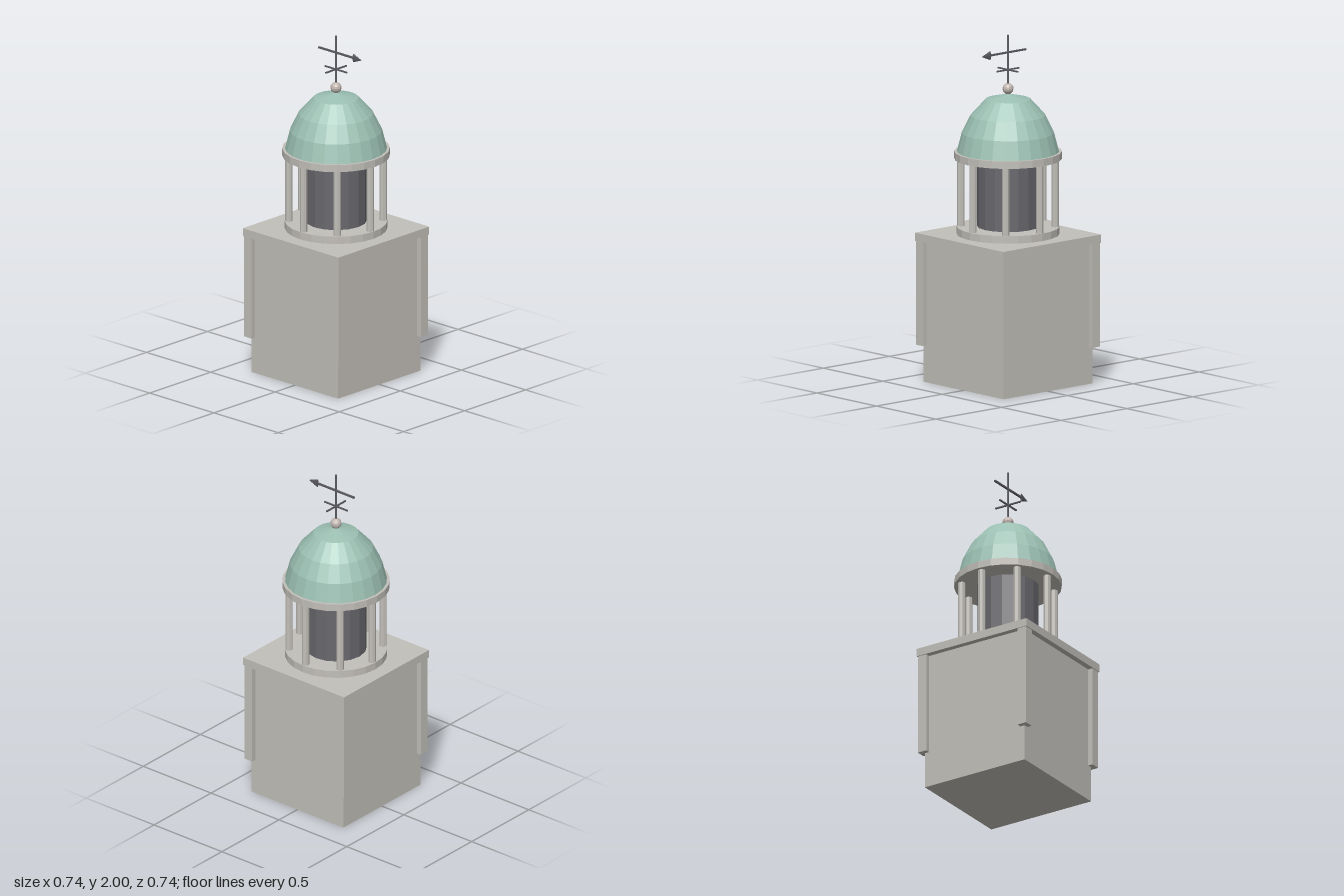
import * as THREE from 'three';

const material = (name, color) => {
  const m = new THREE.MeshStandardMaterial({ color, flatShading: true });
  m.name = name;
  return m;
};

export function createModel() {
  const stone = material('stone', 0xc2bfb9);
  const copper = material('patinaCopper', 0x9cc0b3);
  const dark = material('darkDrum', 0x69686e);
  const iron = material('iron', 0x5c5b62);
  const ballStone = material('finialStone', 0xc2b7b2);
  const group = new THREE.Group();
  group.name = 'cupolaTower';

  const add = (name, geometry, mat, x = 0, y = 0, z = 0) => {
    const mesh = new THREE.Mesh(geometry, mat);
    mesh.name = name;
    mesh.position.set(x, y, z);
    group.add(mesh);
    return mesh;
  };
  // Boxes and cylinders given by their bottom and top heights
  const box = (name, w, d, y0, y1, mat, x = 0, z = 0) =>
    add(name, new THREE.BoxGeometry(w, y1 - y0, d), mat, x, (y0 + y1) / 2, z);
  const cylinder = (name, r, y0, y1, sides, mat, x = 0, z = 0) =>
    add(name, new THREE.CylinderGeometry(r, r, y1 - y0, sides), mat, x, (y0 + y1) / 2, z);

  // Square tower with corner posts and a cornice
  box('towerBody', 0.676, 0.676, 0, 0.81, stone);
  for (const sx of [-1, 1]) {
    for (const sz of [-1, 1]) {
      box('cornerPost', 0.058, 0.058, 0.212, 0.81, stone, sx * 0.338, sz * 0.338);
    }
  }
  box('cornice', 0.744, 0.744, 0.81, 0.857, stone);

  // Open lantern: base ring, inner drum, eight columns, top ring
  cylinder('lanternBase', 0.29, 0.857, 0.9, 24, stone);
  cylinder('lanternDrum', 0.174, 0.9, 1.29, 16, dark);
  for (let i = 0; i < 8; i++) {
    const a = (i * Math.PI) / 4;
    cylinder('column', 0.021, 0.9, 1.29, 8, stone, 0.266 * Math.sin(a), 0.266 * Math.cos(a));
  }
  cylinder('lanternRing', 0.304, 1.29, 1.332, 24, stone);

  // Faceted dome
  const profile = [[0.288, 1.332], [0.261, 1.44], [0.211, 1.54], [0.127, 1.632], [0, 1.664]];
  add('dome', new THREE.LatheGeometry(profile.map(([r, y]) => new THREE.Vector2(r, y)), 24), copper);

  // Finial ball and mast
  add('finialBall', new THREE.SphereGeometry(0.032, 12, 8), ballStone, 0, 1.692, 0);
  cylinder('mast', 0.0065, 1.66, 2, 8, iron);

  // Compass arms
  box('compassArmX', 0.17, 0.008, 1.796, 1.804, iron);
  box('compassArmZ', 0.008, 0.17, 1.796, 1.804, iron);

  // Wind vane: bar with a flattened arrowhead pointing to +x
  const bar = box('vaneBar', 0.275, 0.01, 1.895, 1.905, iron);
  bar.position.x = 0.0025;
  const head = new THREE.ConeGeometry(0.026, 0.065, 8);
  head.rotateZ(-Math.PI / 2);
  head.scale(1, 1, 0.25);
  add('vaneArrowhead', head, iron, 0.1675, 1.9, 0);

  return group;
}
